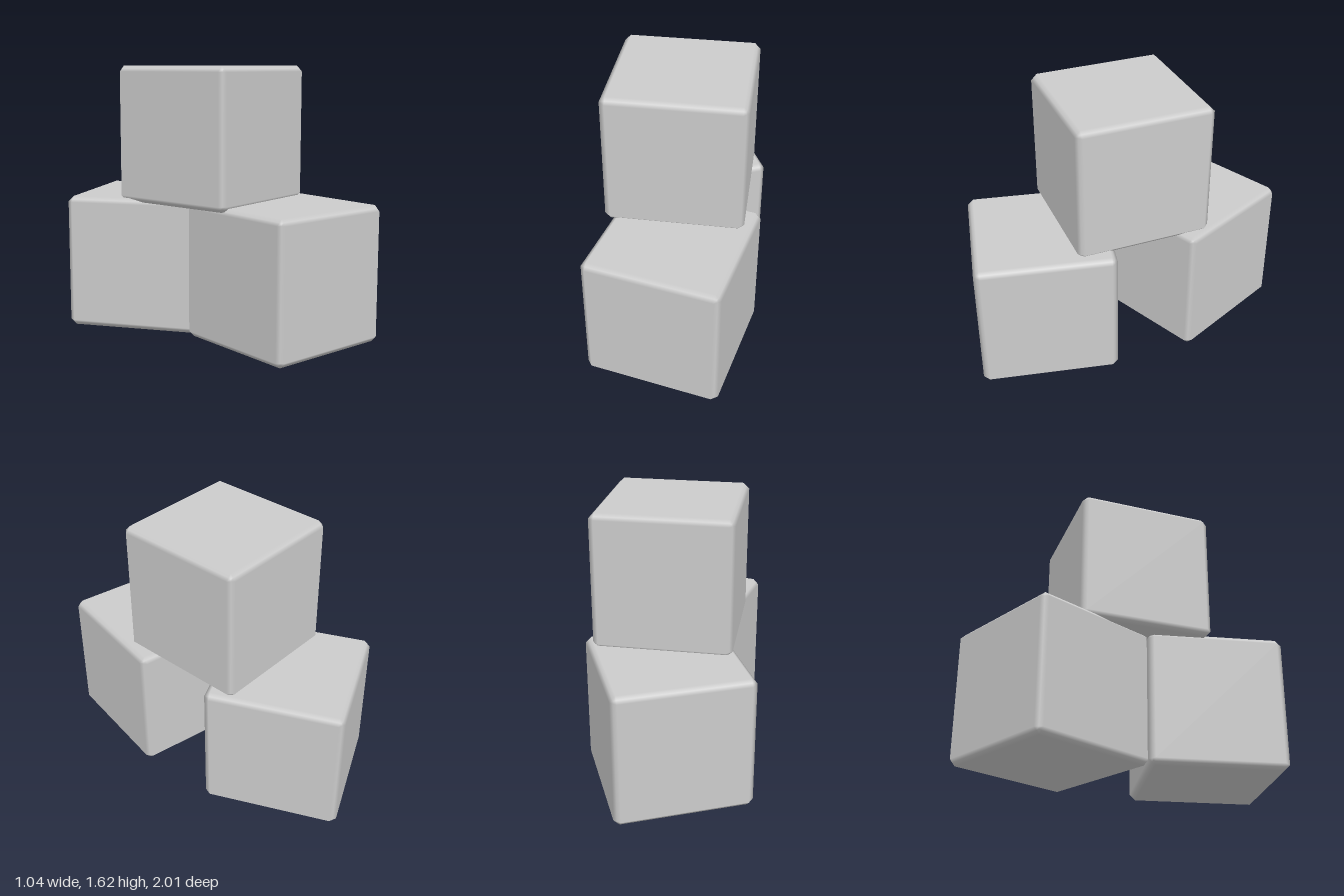
import * as THREE from 'three';

const SIZE = 0.82;
const BEVEL = 0.035;

// Cube with flat faces and a single soft-shaded chamfer on every edge and corner
function bevelledCube(size, bevel) {
  const h = size / 2;
  const geo = new THREE.BoxGeometry(size, size, size, 3, 3, 3);
  const pos = geo.attributes.position;
  const nor = geo.attributes.normal;
  for (let i = 0; i < pos.count; i++) {
    const p = [pos.getX(i), pos.getY(i), pos.getZ(i)];
    const outer = p.map((v) => Math.abs(v) > h * 0.9);
    const n = outer.filter(Boolean).length; // 1 = face, 2 = edge, 3 = corner
    const moved = p.map((v, k) => Math.sign(v) * (outer[k] ? h - (bevel * (n - 1)) / n : h - bevel));
    const dir = p.map((v, k) => (outer[k] ? Math.sign(v) / Math.sqrt(n) : 0));
    pos.setXYZ(i, ...moved);
    nor.setXYZ(i, ...dir);
  }
  return geo;
}

export function createModel() {
  const group = new THREE.Group();
  group.name = 'stackedBlocks';
  const material = new THREE.MeshStandardMaterial({ color: 0xcccccc });
  const geometry = bevelledCube(SIZE, BEVEL);

  // name, centre x, base y, centre z, turn about the vertical
  const blocks = [
    ['frontBlock', 0.032, 0, 0.518, -0.242],
    ['backBlock', 0, 0, -0.48, 0.387],
    ['topBlock', 0.032, 0.8, -0.008, -0.037],
  ];
  for (const [name, x, y, z, turn] of blocks) {
    const block = new THREE.Mesh(geometry, material);
    block.name = name;
    block.position.set(x, y + SIZE / 2, z);
    block.rotation.y = turn;
    group.add(block);
  }
  return group;
}
